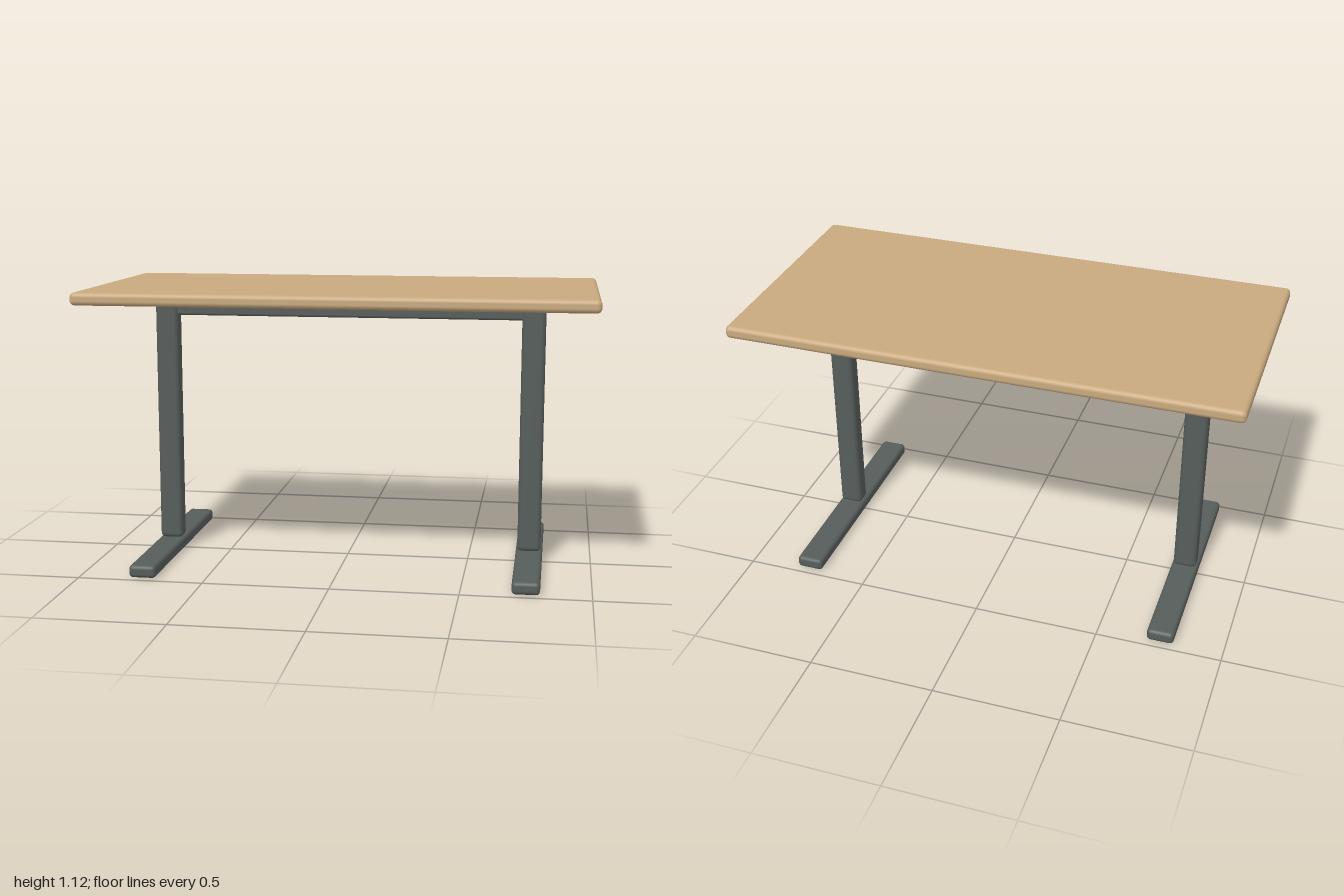
import * as THREE from 'three';
import { RoundedBoxGeometry } from 'three/addons/geometries/RoundedBoxGeometry.js';

export function createModel() {
  const desk = new THREE.Group();
  desk.name = 'desk';
  const wood = new THREE.MeshStandardMaterial({ color: 0xc8a97e });
  const metal = new THREE.MeshStandardMaterial({ color: 0x565d5a });

  // Rounded bar given by its size, edge radius and centre
  function bar(name, material, [w, h, d], radius, [x, y, z]) {
    const mesh = new THREE.Mesh(new RoundedBoxGeometry(w, h, d, 3, radius), material);
    mesh.name = name;
    mesh.position.set(x, y, z);
    desk.add(mesh);
  }

  // Desktop and the beam beneath it
  bar('desktop', wood, [2, 0.05, 1], 0.018, [0, 1.099, 0]);
  bar('crossBeam', metal, [1.43, 0.07, 0.05], 0.01, [0, 1.028, 0]);

  // Leg column and floor foot on each side
  for (const [side, s] of [['left', 1], ['right', -1]]) {
    bar(side + 'Leg', metal, [0.094, 1.022, 0.072], 0.018, [s * 0.75, 0.56, 0]);
    bar(side + 'Foot', metal, [0.108, 0.05, 0.946], 0.016, [s * 0.75, 0.025, 0]);
  }
  return desk;
}
